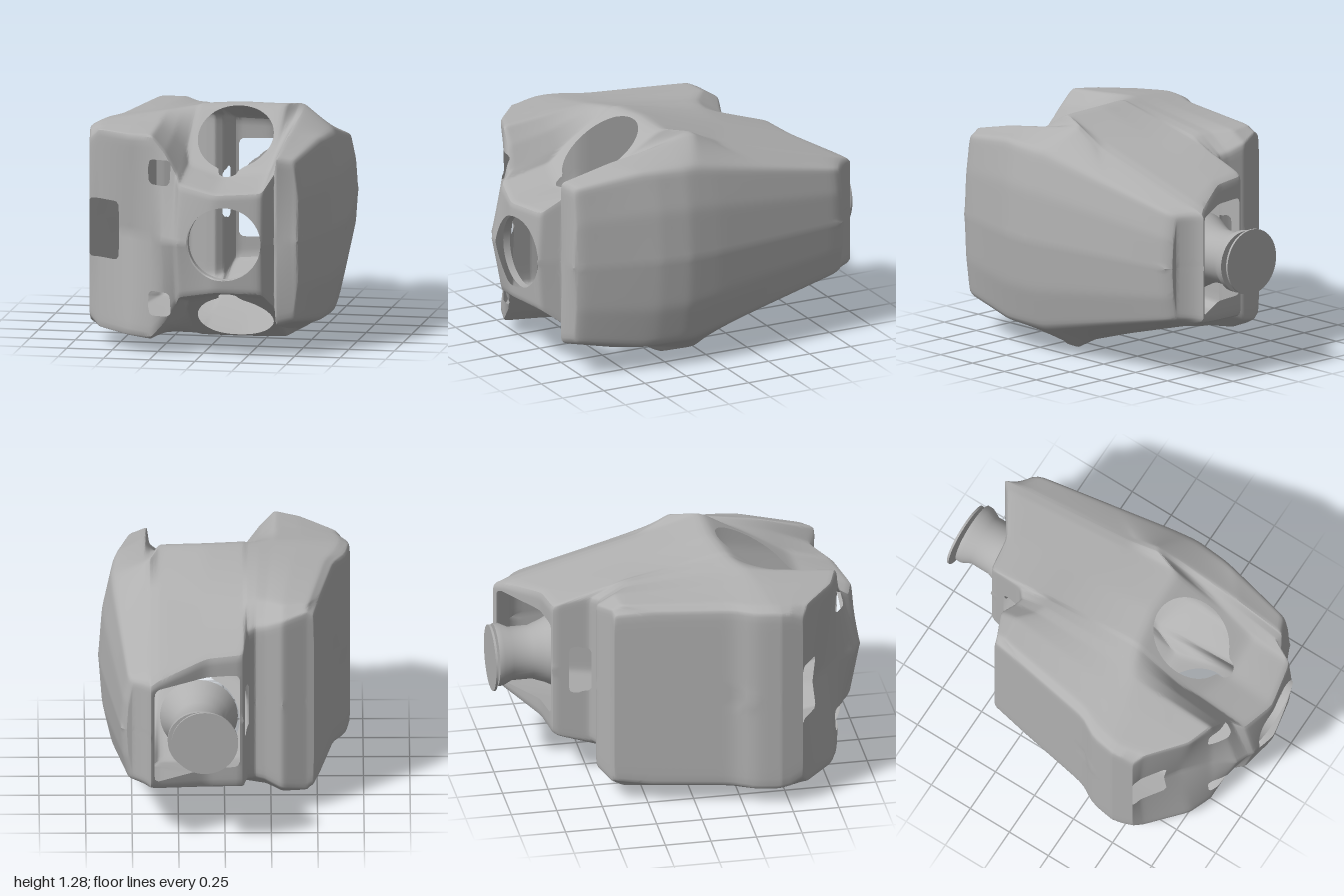
import * as THREE from 'three';
import { toCreasedNormals } from 'three/addons/utils/BufferGeometryUtils.js';

const MID = 0.64; // height of the mirror plane

// Lengthwise half profiles: x, then z and half height at back, mid, ridge, bowl, front edge, then nose z
const profiles = [
  [-0.68, -0.43, 0.50, -0.2, 0.52, 0.42, 0.53, 0.50, 0.52, 0.57, 0.48, 0.57],
  [-0.62, -0.44, 0.52, -0.38, 0.55, 0.40, 0.56, 0.52, 0.55, 0.61, 0.54, 0.58],
  [-0.42, -0.50, 0.49, -0.40, 0.55, 0.36, 0.59, 0.60, 0.57, 0.78, 0.55, 0.70],
  [-0.28, -0.47, 0.45, -0.32, 0.54, 0.32, 0.61, 0.60, 0.58, 0.83, 0.56, 0.82],
  [-0.20, -0.46, 0.44, -0.3, 0.54, 0.28, 0.62, 0.58, 0.52, 0.84, 0.47, 0.94],
  [-0.13, -0.50, 0.43, -0.3, 0.53, 0.26, 0.63, 0.55, 0.44, 0.87, 0.36, 0.97],
  [-0.10, -0.70, 0.39, -0.3, 0.52, 0.25, 0.64, 0.64, 0.37, 0.93, 0.31, 0.99],
  [0.10, -0.73, 0.38, -0.3, 0.50, 0.21, 0.65, 0.69, 0.32, 0.98, 0.27, 1.00],
  [0.35, -0.89, 0.32, -0.14, 0.53, 0.20, 0.645, 0.68, 0.35, 0.93, 0.28, 0.95],
  [0.40, -0.93, 0.30, -0.14, 0.52, 0.06, 0.625, 0.58, 0.47, 0.81, 0.37, 0.83],
  [0.43, -0.92, 0.30, -0.14, 0.51, 0.04, 0.61, 0.55, 0.53, 0.84, 0.46, 0.83],
  [0.61, -0.82, 0.29, -0.35, 0.39, 0.12, 0.49, 0.42, 0.50, 0.80, 0.44, 0.82],
];

// Side outlines in plan, as pairs of z and x
const leftEdge = [[-0.43, -0.48], [0.24, -0.6], [0.28, -0.655], [0.45, -0.68], [0.57, -0.66]];
const rightEdge = [[-0.93, 0.42], [-0.79, 0.56], [0, 0.665], [0.18, 0.68], [0.35, 0.66], [0.78, 0.55], [0.83, 0.52]];

function lookup(table, t) {
  if (t <= table[0][0]) return table[0][1];
  for (let i = 1; i < table.length; i++) {
    const [a, va] = table[i - 1], [b, vb] = table[i];
    if (t <= b) return va + (vb - va) * (t - a) / (b - a);
  }
  return table[table.length - 1][1];
}

// Signed distance to a rounded rectangle
function box2(u, v, hu, hv, r) {
  const a = Math.abs(u) - hu + r, b = Math.abs(v) - hv + r;
  return Math.hypot(Math.max(a, 0), Math.max(b, 0)) + Math.min(Math.max(a, b), 0) - r;
}

// Openings, negative inside; h is the height from the mirror plane
const openings = [
  // round port with a slot in each bowl
  (x, h, z) => Math.min(Math.hypot(x - 0.12, z - 0.445) - 0.205, box2(x - 0.12, z - 0.62, 0.055, 0.085, 0.05)),
  // front port
  (x, h, z) => Math.max(Math.hypot(x - 0.15, h) - 0.2, 0.6 - z),
  // small square openings
  (x, h, z) => Math.max(box2(x + 0.225, h - 0.36, 0.065, 0.068, 0.03), 0.4 - z),
  // front corner notch
  (x, h, z) => Math.max(box2(x + 0.57, h, 0.09, 0.16, 0.02), 0.45 - z),
  // slot in the rear recess wall
  (x, h, z) => Math.max(Math.min(box2(z + 0.55, h - 0.05, 0.06, 0.08, 0.02), box2(z + 0.57, h, 0.035, 0.14, 0.02)), Math.abs(x + 0.12) - 0.08),
  // rear opening
  (x, h, z) => Math.max(box2(x - 0.15, h, 0.23, 0.27, 0.03), z + 0.55),
];

// Keep the part of every triangle lying outside an opening
function cut(triangles, distance) {
  const out = [];
  for (const tri of triangles) {
    const d = tri.map((p) => distance(p[0], p[1], p[2]));
    if (d.every((v) => v >= 0)) { out.push(tri); continue; }
    const poly = [];
    for (let k = 0; k < 3; k++) {
      const n = (k + 1) % 3;
      if (d[k] >= 0) poly.push(tri[k]);
      if ((d[k] >= 0) !== (d[n] >= 0)) {
        const t = d[k] / (d[k] - d[n]);
        poly.push(tri[k].map((v, c) => v + (tri[n][c] - v) * t));
      }
    }
    for (let k = 2; k < poly.length; k++) out.push([poly[0], poly[k - 1], poly[k]]);
  }
  return out;
}

function shellGeometry() {
  // Columns of points running from the rear mid-line over the top to the nose
  const columns = profiles.map((p) => {
    const pts = [[p[0], 0, p[1]]];
    for (let k = 1; k < 11; k += 2) pts.push([p[0], p[k + 1], p[k]]);
    pts.push([p[0], 0, p[11]]);
    return pts;
  });
  const flatten = (col, x, s) => col.map((p) => [x, p[1] * s, p[2]]);
  const last = columns[columns.length - 1];
  columns.unshift(flatten(columns[0], -0.68, 0));
  columns.push(flatten(last, 0.66, 0.55), flatten(last, 0.68, 0));

  // Subdivide both ways
  const mix = (a, b, t) => a.map((v, c) => v + (b[c] - v) * t);
  const refine = (list, n, blend) => {
    const out = [];
    for (let i = 0; i < list.length - 1; i++)
      for (let k = 0; k < n; k++) out.push(blend(list[i], list[i + 1], k / n));
    out.push(list[list.length - 1]);
    return out;
  };
  let grid = refine(columns.map((c) => refine(c, 16, mix)), 10,
    (a, b, t) => a.map((p, j) => mix(p, b[j], t)));

  // Bend the sides to the plan outlines
  for (const col of grid) for (const p of col) {
    if (p[0] < -0.1) p[0] = -0.1 + (p[0] + 0.1) * (lookup(leftEdge, p[2]) + 0.1) / -0.58;
    else if (p[0] > 0.4) p[0] = 0.4 + (p[0] - 0.4) * (lookup(rightEdge, p[2]) - 0.4) / 0.28;
  }

  // Round the edges
  for (let pass = 0; pass < 3; pass++) {
    grid = grid.map((col, i) => col.map((p, j) => {
      if (i === 0 || j === 0 || i === grid.length - 1 || j === col.length - 1) return p;
      const a = grid[i - 1][j], b = grid[i + 1][j], c = col[j - 1], d = col[j + 1];
      return p.map((v, k) => v * 0.4 + (a[k] + b[k] + c[k] + d[k]) * 0.15);
    }));
  }

  let triangles = [];
  for (let i = 0; i < grid.length - 1; i++) {
    for (let j = 0; j < grid[0].length - 1; j++) {
      const a = grid[i][j], b = grid[i][j + 1], c = grid[i + 1][j + 1], d = grid[i + 1][j];
      triangles.push([a, b, d], [b, c, d]);
    }
  }
  for (const opening of openings) triangles = cut(triangles, opening);

  // Upper half and its mirror image
  const position = [];
  for (const [a, b, c] of triangles) {
    for (const p of [a, b, c]) position.push(p[0], MID + p[1], p[2]);
    for (const p of [a, c, b]) position.push(p[0], MID - p[1], p[2]);
  }
  const geometry = new THREE.BufferGeometry();
  geometry.setAttribute('position', new THREE.Float32BufferAttribute(position, 3));
  return toCreasedNormals(geometry, 0.6);
}

export function createModel() {
  const group = new THREE.Group();
  const grey = new THREE.MeshStandardMaterial({ color: 0xb0b0b0, side: THREE.DoubleSide });
  grey.name = 'grey';
  const add = (name, geometry, x = 0, y = 0, z = 0) => {
    const mesh = new THREE.Mesh(geometry, grey);
    mesh.name = name;
    mesh.position.set(x, y, z);
    group.add(mesh);
  };

  add('shell', shellGeometry());

  // Sleeve just inside the front port
  const sleeve = new THREE.CylinderGeometry(0.2, 0.2, 0.04, 48, 1, true).rotateX(Math.PI / 2);
  add('frontPortSleeve', sleeve, 0.15, MID, 0.925);

  // Rear neck with a flange, widening into the shell and closed at its inner end
  const neck = [[0, 0.97], [0.17, 0.97], [0.17, 0.94], [0.145, 0.89], [0.145, 0.78], [0.17, 0.71], [0.21, 0.63], [0, 0.63]]
    .reverse().map(([r, y]) => new THREE.Vector2(r, y));
  const neckGeometry = toCreasedNormals(new THREE.LatheGeometry(neck, 40).rotateX(-Math.PI / 2), 0.6);
  add('rearNeck', neckGeometry, 0.14, MID, 0);

  // Thin disc behind the neck
  add('rearDisc', new THREE.CylinderGeometry(0.18, 0.18, 0.012, 48).rotateX(Math.PI / 2), 0.11, MID, -0.994);

  return group;
}
